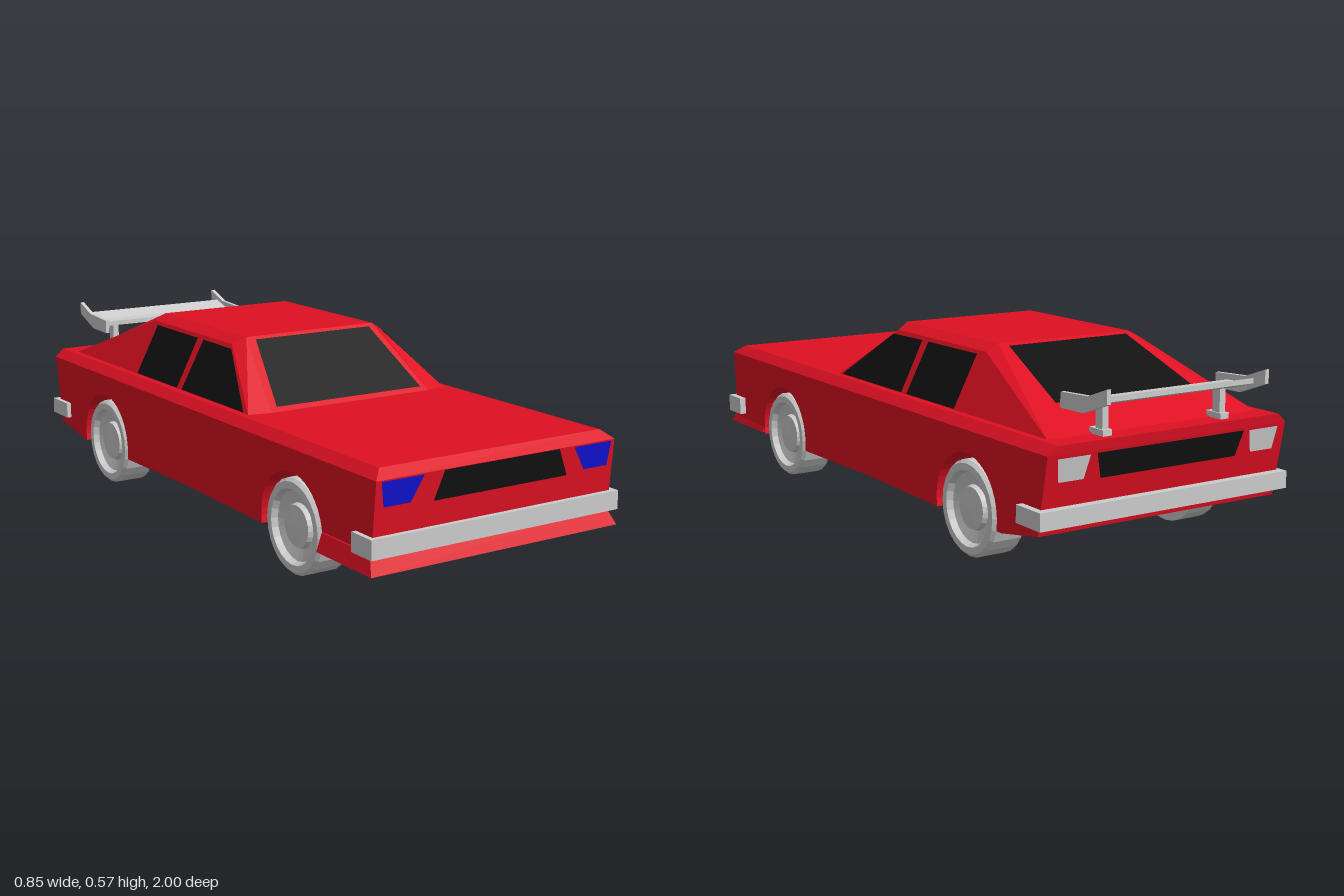
import * as THREE from 'three';

const paint = (color) => new THREE.MeshStandardMaterial({ color, flatShading: true, side: THREE.DoubleSide });

export function createModel() {
  const car = new THREE.Group();
  car.name = 'car';
  const red = paint(0xdd1022), black = paint(0x111111), blue = paint(0x1010cc), grey = paint(0xcccccc);

  const add = (name, geometry, material, parent = car) => {
    const mesh = new THREE.Mesh(geometry, material);
    mesh.name = name;
    parent.add(mesh);
    return mesh;
  };

  const box = (name, w, h, d, x, y, z, material) =>
    add(name, new THREE.BoxGeometry(w, h, d), material).position.set(x, y, z);

  // Block with different bottom and top rectangles: [y, halfWidth, zBack, zFront]
  const taper = (name, bottom, top, material) => {
    const g = new THREE.BoxGeometry(2, 2, 2), p = g.attributes.position;
    for (let i = 0; i < p.count; i++) {
      const [y, w, z0, z1] = p.getY(i) > 0 ? top : bottom;
      p.setXYZ(i, p.getX(i) * w, y, p.getZ(i) > 0 ? z1 : z0);
    }
    g.computeVertexNormals();
    return add(name, g, material);
  };

  // Side profile in (z, y) extruded from x0 to x1
  const slab = (name, shape, x0, x1, material) => {
    const g = new THREE.ExtrudeGeometry(shape, { depth: x1 - x0, bevelEnabled: false, curveSegments: 12 });
    g.rotateY(-Math.PI / 2).translate(x1, 0, 0);
    return add(name, g, material);
  };

  // Flat convex panel from corner points
  const panel = (name, points, material) => {
    const g = new THREE.BufferGeometry().setFromPoints(points.map((p) => new THREE.Vector3(...p)));
    const index = [];
    for (let i = 1; i < points.length - 1; i++) index.push(0, i, i + 1);
    g.setIndex(index);
    g.computeVertexNormals();
    return add(name, g, material);
  };

  // Lower body: solid core, plus flanks with wheel arches
  const axles = [-0.545, 0.59];
  const bodyShape = (arches) => {
    const s = new THREE.Shape();
    s.moveTo(-0.89, 0.14);
    s.lineTo(-0.72, 0.11);
    axles.forEach((z, i) => {
      if (arches) s.absarc(z, 0.14, 0.155, Math.PI + 0.195, -0.195, true);
      if (i === 0) s.lineTo(0.02, 0.116);
    });
    s.lineTo(0.76, 0.115);
    s.lineTo(0.965, 0.13);
    s.lineTo(0.985, 0.36);
    s.lineTo(-0.932, 0.36);
    s.closePath();
    return s;
  };
  slab('bodyCore', bodyShape(false), -0.29, 0.29, red);
  slab('leftFlank', bodyShape(true), 0.29, 0.405, red);
  slab('rightFlank', bodyShape(true), -0.405, -0.29, red);
  taper('shoulder', [0.36, 0.405, -0.932, 0.985], [0.385, 0.375, -0.935, 0.955], red);
  taper('airDam', [0.115, 0.42, 0.75, 1.0], [0.165, 0.403, 0.75, 0.97], red).position.x = -0.008;

  // Cabin: four stations, each [y, innerX, innerZ, outerY, outerX, outerZ]
  const stations = [
    [0.383, 0.285, 0.30, 0.383, 0.355, 0.285],
    [0.567, 0.23, 0.07, 0.547, 0.27, 0.05],
    [0.567, 0.23, -0.44, 0.547, 0.27, -0.44],
    [0.383, 0.32, -0.87, 0.383, 0.355, -0.86],
  ];
  const verts = [], faces = [];
  for (const [y, x, z, oy, ox, oz] of stations) verts.push(-ox, oy, oz, -x, y, z, x, y, z, ox, oy, oz);
  const quad = (a, b, c, d) => faces.push(a, b, c, a, c, d);
  for (let s = 0; s < 3; s++) {
    for (let k = 0; k < 3; k++) {
      const a = s * 4 + k;
      quad(a, a + 1, a + 5, a + 4);
    }
  }
  quad(3, 15, 11, 7);
  quad(0, 4, 8, 12);
  const cabin = new THREE.BufferGeometry();
  cabin.setAttribute('position', new THREE.Float32BufferAttribute(verts, 3));
  cabin.setIndex(faces);
  cabin.computeVertexNormals();
  add('cabin', cabin, red);

  // Windscreen and rear window
  panel('windscreen', [[-0.26, 0.398, 0.288], [0.26, 0.398, 0.288], [0.207, 0.56, 0.086], [-0.207, 0.56, 0.086]], black);
  panel('rearWindow', [[0.207, 0.562, -0.46], [-0.207, 0.562, -0.46], [-0.237, 0.447, -0.73], [0.237, 0.447, -0.73]], black);

  // Side windows, lamps and spoiler supports on both sides
  const sideX = (y) => 0.359 - (y - 0.383) * 0.518;
  for (const side of [1, -1]) {
    const tag = side > 0 ? 'left' : 'right';
    const window = (name, pts) => panel(tag + name, pts.map(([z, y]) => [side * sideX(y), y, z]), black);
    window('FrontWindow', [[0.26, 0.388], [0.065, 0.535], [-0.105, 0.537], [-0.11, 0.388]]);
    window('RearWindow', [[-0.14, 0.388], [-0.14, 0.537], [-0.405, 0.538], [-0.405, 0.388]]);

    panel(tag + 'Headlight', [[0.255, 0.357, 0.988], [0.39, 0.357, 0.988], [0.38, 0.288, 0.983], [0.295, 0.288, 0.983]]
      .map(([x, y, z]) => [side * x, y, z]), blue);
    panel(tag + 'TailLight', [[0.27, 0.35, -0.934], [0.375, 0.35, -0.934], [0.365, 0.285, -0.923], [0.285, 0.285, -0.923]]
      .map(([x, y, z]) => [side * x, y, z]), grey);

    box(tag + 'SpoilerFoot', 0.03, 0.02, 0.06, side * 0.2, 0.392, -0.88, grey);
    box(tag + 'SpoilerPost', 0.02, 0.085, 0.03, side * 0.2, 0.43, -0.885, grey);
  }

  // Grille and rear panel
  panel('grille', [[-0.19, 0.36, 0.989], [0.2, 0.36, 0.989], [0.235, 0.28, 0.982], [-0.22, 0.28, 0.982]], black);
  panel('rearPanel', [[-0.25, 0.352, -0.935], [0.25, 0.352, -0.935], [0.23, 0.28, -0.922], [-0.23, 0.28, -0.922]], black);

  // Bumpers
  box('frontBumper', 0.845, 0.055, 0.09, 0.003, 0.182, 0.943, grey);
  box('rearBumper', 0.845, 0.05, 0.11, 0.003, 0.19, -0.875, grey);

  // Rear spoiler: wing blade and end plates
  const outline = (pts) => new THREE.Shape(pts.map((p) => new THREE.Vector2(...p)));
  slab('spoilerWing', outline([[-0.85, 0.465], [-0.9, 0.468], [-0.955, 0.485], [-0.955, 0.5], [-0.9, 0.482], [-0.85, 0.48]]), -0.265, 0.265, grey);
  const plate = outline([[-0.8, 0.45], [-0.9, 0.452], [-1.0, 0.49], [-1.0, 0.53], [-0.92, 0.5], [-0.8, 0.493]]);
  slab('leftEndPlate', plate, 0.26, 0.273, grey);
  slab('rightEndPlate', plate, -0.273, -0.26, grey);

  // Wheels: tyre with a dished rim and raised hub, outer face at +y of the lathe
  const profile = [[0, -0.05], [0.137, -0.05], [0.137, 0.04], [0.128, 0.05], [0.108, 0.05],
    [0.1, 0.032], [0.065, 0.022], [0.06, 0.036], [0, 0.04]].map((p) => new THREE.Vector2(...p));
  const wheelGeometry = new THREE.LatheGeometry(profile, 24);
  for (const side of [1, -1]) {
    axles.forEach((z, i) => {
      const wheel = add((side > 0 ? 'left' : 'right') + (i ? 'Front' : 'Rear') + 'Wheel', wheelGeometry, grey);
      wheel.rotation.z = -side * Math.PI / 2;
      wheel.position.set(side * 0.352, 0.137, z);
    });
  }

  return car;
}
